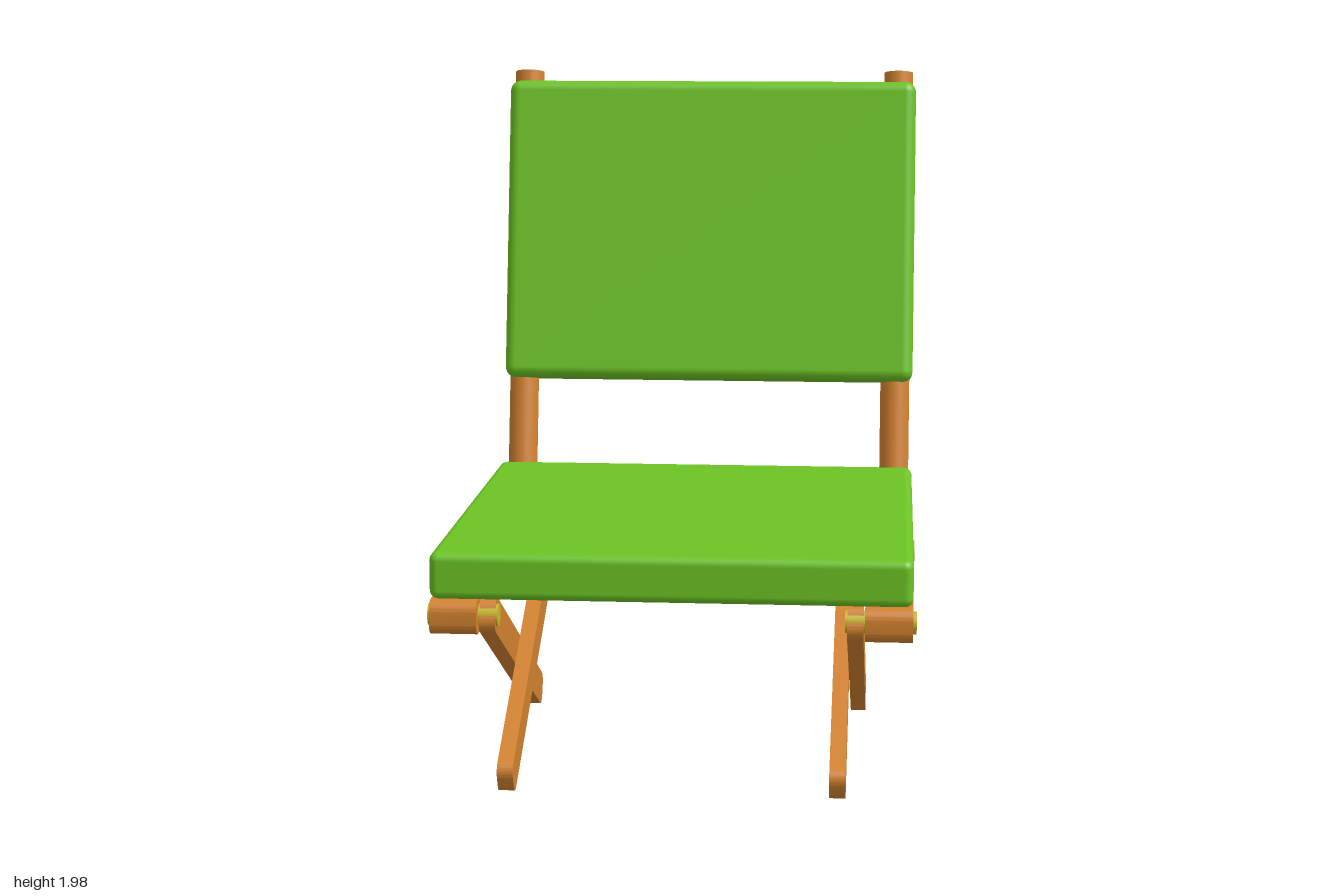
import * as THREE from 'three';
import { toCreasedNormals } from 'three/addons/utils/BufferGeometryUtils.js';
import { RoundedBoxGeometry } from 'three/addons/geometries/RoundedBoxGeometry.js';

const fabric = new THREE.MeshStandardMaterial({ name: 'green fabric', color: 0x6cc424 });
const wood = new THREE.MeshStandardMaterial({ name: 'orange wood', color: 0xd3822f });
const brass = new THREE.MeshStandardMaterial({ name: 'yellow brass', color: 0xc9b92a });

// Flat bar with rounded ends, long axis z, centred on the origin
function barGeometry(length, height, thickness, r = 0.035) {
  const a = length / 2, b = height / 2;
  const s = new THREE.Shape();
  s.moveTo(-a + r, -b);
  s.lineTo(a - r, -b);
  s.absarc(a - r, -b + r, r, -Math.PI / 2, 0);
  s.absarc(a - r, b - r, r, 0, Math.PI / 2);
  s.absarc(-a + r, b - r, r, Math.PI / 2, Math.PI);
  s.absarc(-a + r, -b + r, r, Math.PI, Math.PI * 1.5);
  const g = new THREE.ExtrudeGeometry(s, { depth: thickness, bevelEnabled: false, curveSegments: 8 });
  g.translate(0, 0, -thickness / 2);
  g.rotateY(-Math.PI / 2);
  return toCreasedNormals(g, 0.6);
}

export function createModel() {
  const group = new THREE.Group();
  group.name = 'foldingChair';

  const add = (name, geometry, material, x, y, z, rx = 0) => {
    const mesh = new THREE.Mesh(geometry, material);
    mesh.name = name;
    mesh.position.set(x, y, z);
    mesh.rotation.x = rx;
    group.add(mesh);
    return mesh;
  };

  // Cushions
  const tilt = -THREE.MathUtils.degToRad(12);
  add('seat', new RoundedBoxGeometry(1.36, 0.135, 1.365, 4, 0.025), fabric, 0, 0.657, 0.2225);
  add('backrest', new RoundedBoxGeometry(1.36, 1.0, 0.148, 5, 0.035), fabric, 0, 1.465, -0.733, tilt);

  // Shared frame geometries
  const railGeometry = barGeometry(1.555, 0.1, 0.134);
  const legGeometry = barGeometry(1.075, 0.1, 0.046);
  const postLength = 1.48;
  const postGeometry = new THREE.CylinderGeometry(0.048, 0.048, postLength, 32);
  const boltGeometry = new THREE.CylinderGeometry(0.032, 0.032, 0.2, 24);
  boltGeometry.rotateZ(Math.PI / 2);

  // Leg centre lies part way down the slope from its upper pivot
  const slope = THREE.MathUtils.degToRad(27.7);
  const reach = 0.5075;
  const legY = 0.535 - reach * Math.sin(slope);
  const frontPivot = 0.845, rearPivot = -0.05;

  for (const [side, s] of [['left', 1], ['right', -1]]) {
    add(side + 'Rail', railGeometry, wood, s * 0.613, 0.535, 0.1275);
    add(side + 'Post', postGeometry, wood, s * 0.622,
      1.99 + Math.cos(tilt) * -postLength / 2,
      -0.849 - Math.sin(tilt) * postLength / 2, tilt);

    // Crossed legs, one beside the other
    add(side + 'OuterLeg', legGeometry, wood, s * 0.519, legY, frontPivot - reach * Math.cos(slope), -slope);
    add(side + 'InnerLeg', legGeometry, wood, s * 0.473, legY, rearPivot + reach * Math.cos(slope), slope);

    // Pivot bolts
    add(side + 'FrontBolt', boltGeometry, brass, s * 0.59, 0.535, frontPivot);
    add(side + 'RearBolt', boltGeometry, brass, s * 0.59, 0.535, rearPivot);
  }
  return group;
}
